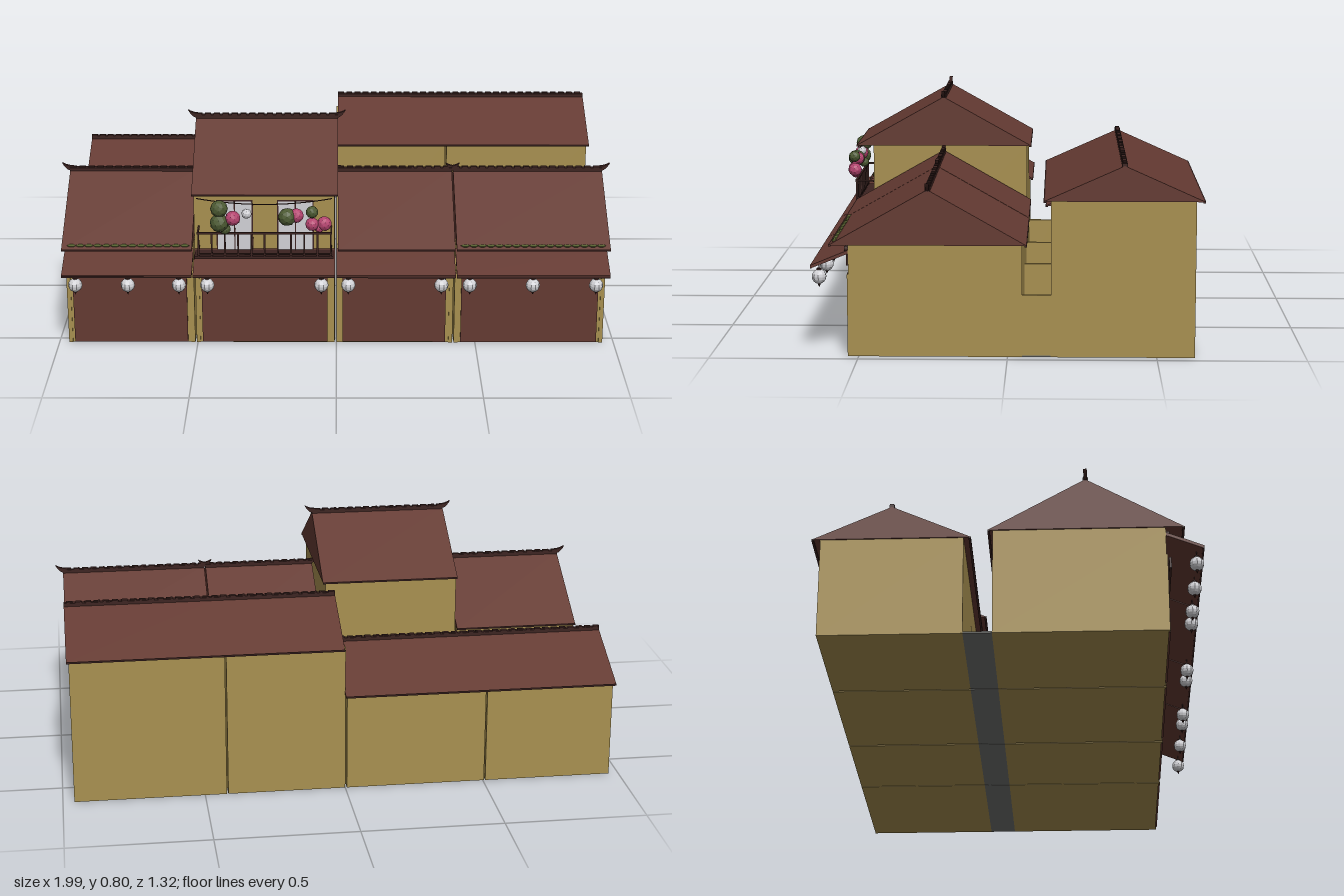
import * as THREE from 'three';

const mat = (name, color, extra = {}) =>
  Object.assign(new THREE.MeshStandardMaterial({ color, ...extra }), { name });

export function createModel() {
  const M = {
    wall: mat('ochre plaster', 0xa89050),
    roof: mat('red brown tile', 0x643a32),
    dark: mat('dark timber', 0x3c2320),
    floor: mat('grey paving', 0x70726f),
    leaf: mat('leaf green', 0x4c5a32, { flatShading: true }),
    pink: mat('blossom pink', 0xb4446f, { flatShading: true }),
    pale: mat('pale paper', 0xd2d2d6, { flatShading: true }),
    moss: mat('moss green', 0x56602f),
  };
  const root = new THREE.Group();
  root.name = 'shophouseRow';

  const add = (name, geo, material, parent = root) => {
    const m = new THREE.Mesh(geo, material);
    m.name = name;
    parent.add(m);
    return m;
  };
  // Box given by its limits on each axis
  const box = (name, material, [x0, x1], [y0, y1], [z0, z1], parent = root) => {
    const m = add(name, new THREE.BoxGeometry(x1 - x0, y1 - y0, z1 - z0), material, parent);
    m.position.set((x0 + x1) / 2, (y0 + y1) / 2, (z0 + z1) / 2);
    return m;
  };
  // Side profile of [z, y] points swept along x
  const sweep = (name, material, [x0, x1], pts, parent = root) => {
    const shape = new THREE.Shape(pts.map(([z, y]) => new THREE.Vector2(-z, y)));
    const g = new THREE.ExtrudeGeometry(shape, { depth: x1 - x0, bevelEnabled: false });
    g.rotateY(Math.PI / 2).translate(x0, 0, 0);
    return add(name, g, material, parent);
  };

  // Upswept horn at a ridge end, dir = -1 or 1
  const horn = (x, y, z, dir, parent) => {
    const s = new THREE.Shape();
    s.moveTo(-0.012, -0.006);
    s.lineTo(0.004, -0.006);
    s.quadraticCurveTo(0.018, 0.002, 0.028, 0.021);
    s.quadraticCurveTo(0.012, 0.01, -0.012, 0.009);
    const g = new THREE.ExtrudeGeometry(s, { depth: 0.012, bevelEnabled: false, curveSegments: 5 });
    g.translate(0, 0, -0.006);
    const m = add('ridgeHorn', g, M.dark, parent);
    m.position.set(x, y, z);
    if (dir < 0) m.rotation.y = Math.PI;
  };

  // Gable roof with a capped ridge
  const gable = (name, xs, zFront, zBack, eave, rise, horns) => {
    const g = new THREE.Group();
    g.name = name;
    root.add(g);
    const zm = (zFront + zBack) / 2, top = eave + rise;
    sweep('roofTiles', M.roof, xs, [[zFront, eave], [zm, top], [zBack, eave]], g);
    box('ridgeCap', M.dark, xs, [top - 0.008, top + 0.008], [zm - 0.009, zm + 0.009], g);
    const n = Math.round((xs[1] - xs[0]) / 0.032), step = (xs[1] - xs[0]) / n;
    for (let i = 0; i < n; i++) {
      const a = xs[0] + i * step;
      box('ridgeTile', M.dark, [a, a + step * 0.7], [top + 0.006, top + 0.012], [zm - 0.007, zm + 0.007], g);
    }
    // thin drip edge along both eaves
    for (const [z, s] of [[zFront, -1], [zBack, 1]])
      box('eaveEdge', M.dark, xs, [eave - 0.004, eave + 0.002], z < zm ? [z, z + 0.008 * s] : [z + 0.008 * s, z], g);
    if (horns) {
      horn(xs[0], top + 0.004, zm, -1, g);
      horn(xs[1], top + 0.004, zm, 1, g);
    }
  };

  const lantern = (x) => {
    const g = new THREE.Group();
    g.name = 'lantern';
    g.position.set(x, 0.264, 0.635);
    root.add(g);
    add('lanternBody', new THREE.SphereGeometry(0.025, 10, 8), M.pale, g);
    add('lanternCap', new THREE.CylinderGeometry(0.009, 0.009, 0.006, 8), M.dark, g).position.y = 0.025;
    add('lanternCord', new THREE.CylinderGeometry(0.0015, 0.0015, 0.03, 5), M.dark, g).position.y = 0.037;
    const tassel = add('lanternTassel', new THREE.ConeGeometry(0.007, 0.016, 6), M.dark, g);
    tassel.rotation.x = Math.PI;
    tassel.position.y = -0.029;
  };

  // Four adjoining houses: extents, shutters, sign boards, lanterns
  const houses = [
    { xs: [-0.965, -0.509], roof: [-0.97, -0.51], door: [-0.943, -0.535], sign: [-0.86, -0.6], lamps: [-0.92, -0.735, -0.555], moss: [-0.95, -0.52] },
    { xs: [-0.504, -0.006], roof: [-0.507, 0.005], door: [-0.482, -0.032], sign: [-0.41, -0.125], lamps: [-0.455, -0.053], tall: true },
    { xs: [0, 0.418], roof: [0.006, 0.42], door: [0.022, 0.392], sign: [0.085, 0.345], lamps: [0.042, 0.37], rearTall: true },
    { xs: [0.423, 0.96], roof: [0.425, 0.967], door: [0.447, 0.937], sign: [0.56, 0.82], lamps: [0.47, 0.692, 0.915], moss: [0.44, 0.95], rearTall: true },
  ];
  for (const h of houses) {
    const [x0, x1] = h.xs;
    const top = h.tall ? 0.585 : 0.38, rear = h.rearTall ? 0.53 : 0.355;
    box('frontBuilding', M.wall, h.xs, [0, top], [-0.048, 0.533]);
    box('rearBuilding', M.wall, h.xs, [0, rear], [-0.628, -0.145]);
    box('courtyardFloor', M.floor, h.xs, [0, 0.006], [-0.145, -0.048]);
    box('courtyardWall', M.wall, [x1 - 0.014, x1], [0.006, 0.212], [-0.145, -0.048]);
    gable('frontRoof', h.roof, 0.597, -0.065, top, h.tall ? 0.185 : 0.188, true);
    gable('rearRoof', [h.roof[0], x1 + 0.008], -0.12, -0.657, rear, 0.12, false);

    // Street front: shutter, sign board, awning
    box('shutter', M.roof, h.door, [0.003, 0.272], [0.533, 0.539]);
    box('shutterHead', M.dark, h.door, [0.272, 0.278], [0.533, 0.539]);
    box('signBoard', M.dark, h.sign, [0.283, 0.323], [0.546, 0.554]);
    for (const x of h.xs)
      box('doorPost', M.wall, x === x0 ? [x, x + 0.014] : [x - 0.014, x], [0, 0.28], [0.533, 0.537]);
    sweep('awning', M.roof, [x0, x1 + 0.001], [[0.533, 0.362], [0.66, 0.31], [0.658, 0.3], [0.533, 0.35]]);
    box('awningEdge', M.dark, [x0, x1], [0.3, 0.307], [0.654, 0.66]);
    h.lamps.forEach(lantern);

    // Tile ends along the top of the awning
    if (!h.tall) {
      const n = Math.round((x1 - x0) / 0.026);
      for (let i = 0; i < n; i++) {
        const t = add('tileEnd', new THREE.CylinderGeometry(0.008, 0.008, 0.012, 8), M.dark);
        t.rotation.x = Math.PI / 2;
        t.position.set(x0 + ((i + 0.5) * (x1 - x0)) / n, 0.364, 0.54);
      }
    }
    // Moss growing along the eave
    if (h.moss) {
      const [a, b] = h.moss, n = Math.round((b - a) / 0.03);
      for (let i = 0; i < n; i++) {
        const p = add('moss', new THREE.SphereGeometry(0.01, 6, 4), M.moss);
        p.scale.set(1.7, 0.5, 0.9);
        p.position.set(a + ((i + 0.5) * (b - a)) / n, 0.391, 0.58);
      }
    }
  }

  // Balcony with railing
  const bx = [-0.5, -0.01];
  box('balconyFloor', M.dark, bx, [0.351, 0.36], [0.533, 0.605]);
  box('topRail', M.dark, [-0.49, -0.015], [0.443, 0.45], [0.597, 0.605]);
  box('bottomRail', M.dark, [-0.49, -0.015], [0.365, 0.37], [0.598, 0.604]);
  for (let i = 0; i <= 10; i++) {
    const x = -0.485 + i * 0.0465;
    box('baluster', M.dark, [x - 0.003, x + 0.003], [0.36, 0.445], [0.598, 0.604]);
  }
  for (const x of [-0.487, -0.018])
    for (const y of [0.37, 0.443]) box('sideRail', M.dark, [x - 0.003, x + 0.003], [y, y + 0.006], [0.533, 0.6]);

  // Paper balcony doors with frames
  for (const [a, b] of [[-0.42, -0.3], [-0.205, -0.085]]) {
    box('doorFrame', M.dark, [a - 0.005, b + 0.005], [0.36, 0.546], [0.533, 0.535]);
    box('paperDoor', M.pale, [a, b], [0.36, 0.541], [0.535, 0.538]);
    const m = (a + b) / 2;
    box('doorBar', M.dark, [m - 0.002, m + 0.002], [0.36, 0.541], [0.538, 0.54]);
  }

  // Garland wire with hanging foliage and blossoms
  const wire = new THREE.QuadraticBezierCurve3(
    new THREE.Vector3(-0.49, 0.572, 0.59), new THREE.Vector3(-0.25, 0.535, 0.61), new THREE.Vector3(-0.015, 0.572, 0.59));
  add('garlandWire', new THREE.TubeGeometry(wire, 16, 0.002, 5), M.dark);
  const blooms = [
    ['leaf', -0.41, 0.54, 0.031], ['leaf', -0.41, 0.49, 0.033], ['leaf', -0.39, 0.465, 0.02],
    ['pink', -0.362, 0.507, 0.027], ['pale', -0.314, 0.522, 0.018],
    ['leaf', -0.172, 0.512, 0.032], ['pink', -0.14, 0.515, 0.026],
    ['pink', -0.085, 0.485, 0.024], ['pink', -0.042, 0.485, 0.026], ['leaf', -0.085, 0.53, 0.022],
    ['pink', -0.06, 0.47, 0.018],
  ];
  blooms.forEach(([k, x, y, r], i) => {
    const b = add(k === 'leaf' ? 'foliage' : 'blossom', new THREE.IcosahedronGeometry(r, 1), M[k]);
    b.position.set(x, y, 0.608 + (i % 2) * 0.006);
    b.rotation.set(i, i * 2, 0);
  });

  // Courtyard planters and crates
  for (const x of [-0.395, 0.33, 0.84]) {
    box('planter', M.roof, [x - 0.028, x + 0.028], [0.006, 0.04], [-0.122, -0.088]);
    box('hedge', M.leaf, [x - 0.033, x + 0.033], [0.04, 0.09], [-0.126, -0.084]);
  }
  for (const x of [0.2, 0.775]) box('crate', M.roof, [x - 0.025, x + 0.025], [0.006, 0.06], [-0.125, -0.083]);

  return root;
}
